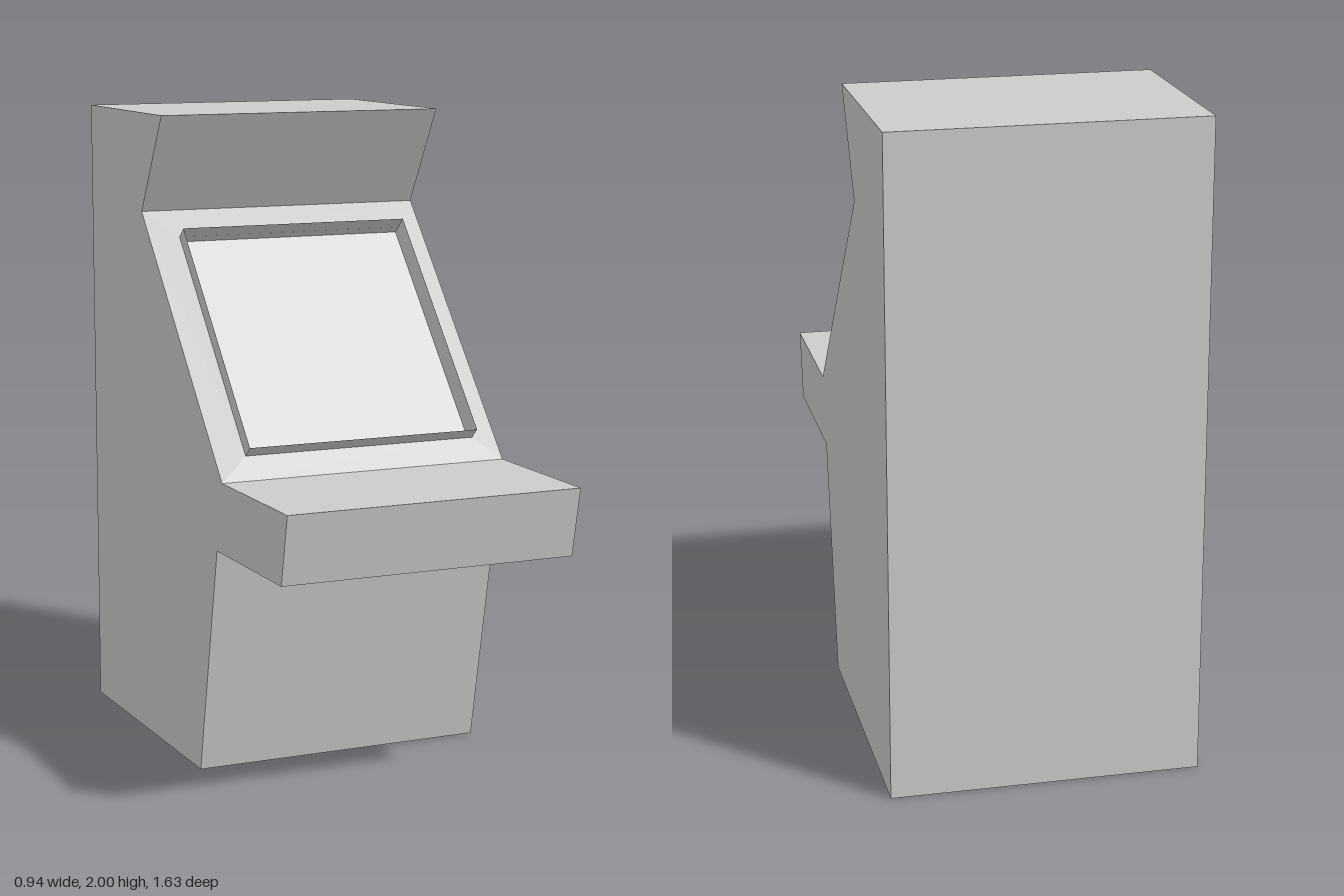
import * as THREE from 'three';

const W = 0.47; // half width of the cabinet
const material = new THREE.MeshStandardMaterial({ color: 0xcccccc, flatShading: true });

// Mesh from a list of four-cornered faces, corners counter-clockwise from outside
function quadMesh(name, quads) {
  const positions = quads.flatMap(([a, b, c, d]) => [a, b, c, a, c, d].flat());
  const geometry = new THREE.BufferGeometry();
  geometry.setAttribute('position', new THREE.Float32BufferAttribute(positions, 3));
  geometry.computeVertexNormals();
  const mesh = new THREE.Mesh(geometry, material);
  mesh.name = name;
  return mesh;
}

// Face across the full width between two side-profile points [z, y]
const across = ([z0, y0], [z1, y1], w = W) =>
  [[-w, y0, z0], [w, y0, z0], [w, y1, z1], [-w, y1, z1]];

// Four faces joining one rectangular loop to the next
const ring = (a, b) => a.map((p, i) => {
  const j = (i + 1) % 4;
  return [p, a[j], b[j], b[i]];
});

// Side panel facing +x (side = 1) or -x (side = -1)
function sidePanel(name, profile, side) {
  const shape = new THREE.Shape(profile.map(([z, y]) => new THREE.Vector2(-side * z, y)));
  const mesh = new THREE.Mesh(new THREE.ShapeGeometry(shape), material);
  mesh.rotation.y = side * Math.PI / 2;
  mesh.position.x = side * W;
  mesh.name = name;
  return mesh;
}

export function createModel() {
  const model = new THREE.Group();
  model.name = 'arcadeCabinet';

  // Side outline [z, y], from the bottom front edge upwards and round the back
  const profile = [
    [0.13, 0], [0.28, 0.725], [0.77, 0.725], [0.815, 0.94], [0.325, 0.94],
    [-0.34, 1.69], [-0.155, 2], [-0.812, 2], [-0.812, 0],
  ];
  model.add(sidePanel('leftPanel', profile, 1), sidePanel('rightPanel', profile, -1));

  // Panels across the width; the sloping opening (index 4) holds the screen
  const names = ['lowerFront', 'deckUnderside', 'deckFront', 'controlDeck', null,
    'canopyFace', 'roof', 'back', 'base'];
  names.forEach((name, i) => {
    if (name) model.add(quadMesh(name, [across(profile[i], profile[(i + 1) % profile.length])]));
  });

  // Screen surround: bezel rises slightly, thin rim stands up, screen sits sunken inside
  const opening = across(profile[4], profile[5]);
  const inner = across([0.291, 1.01], [-0.244, 1.615], 0.38);
  const rim = across([0.325, 1.04], [-0.21, 1.645], 0.38);
  const glass = across([0.27, 0.992], [-0.265, 1.597], 0.38);
  model.add(
    quadMesh('bezel', ring(opening, inner)),
    quadMesh('screenRimOutside', ring(inner, rim)),
    quadMesh('screenRimInside', ring(rim, glass)),
    quadMesh('screen', [glass]),
  );
  return model;
}
